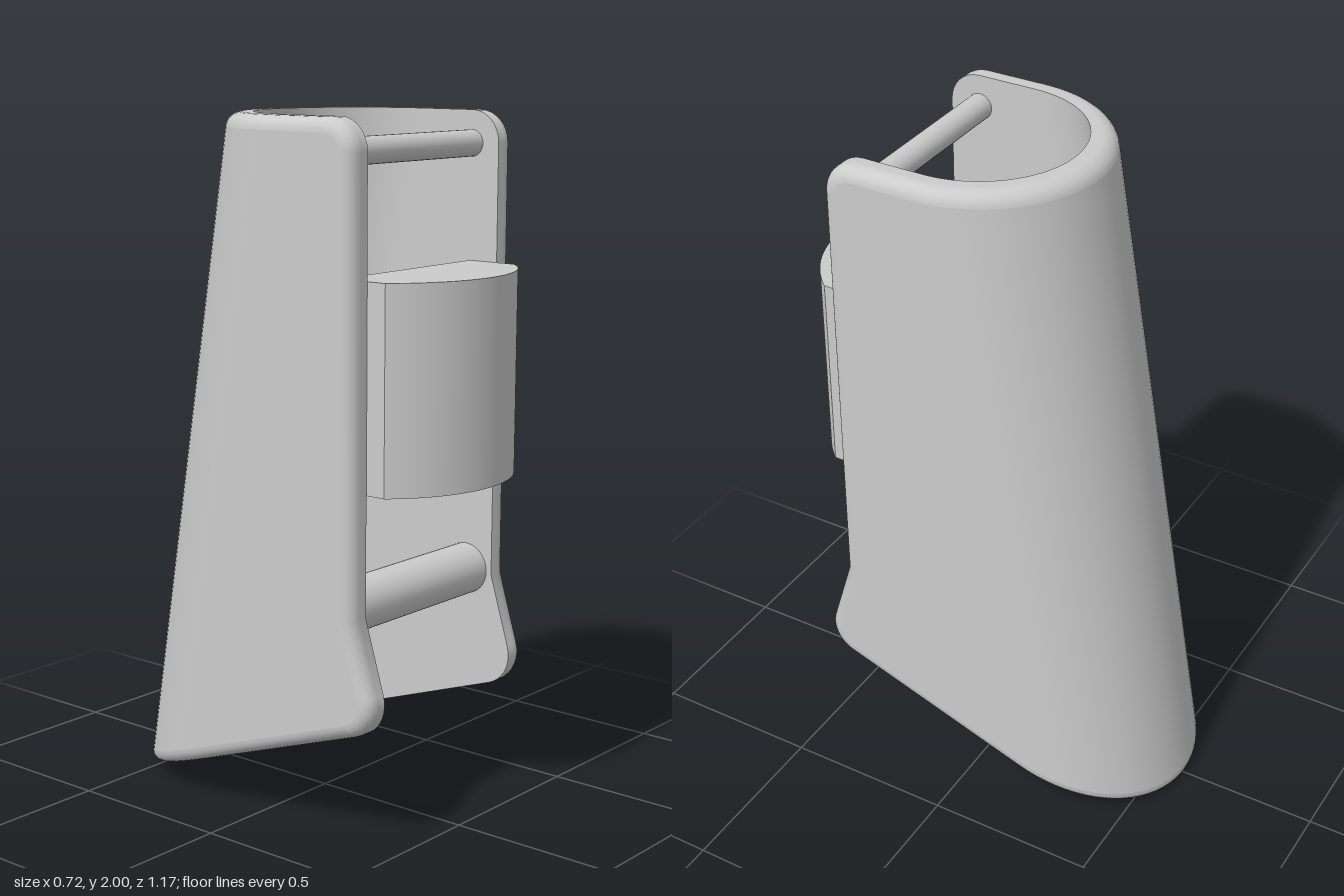
import * as THREE from 'three';
import { mergeGeometries, toCreasedNormals } from 'three/addons/utils/BufferGeometryUtils.js';

const OUTER = 0.362, INNER = 0.29, FILLET = 0.04;
const SLOPE = 0.349, BASE = 0.195;            // slanted bottom: y = BASE + SLOPE * z
const LEAN = 0.173, C0 = -0.226;              // arc centre: z = C0 + LEAN * y
const NORM = Math.hypot(1, SLOPE);

// Front edge of the side walls, bottom to top: points with outward normals
function frontEdge() {
  const pts = [];
  const arc = (cz, cy, r, a0, a1, n) => {
    for (let i = 0; i <= n; i++) {
      const a = a0 + (a1 - a0) * i / n, nz = Math.cos(a), ny = Math.sin(a);
      pts.push({ z: cz + r * nz, y: cy + r * ny, nz, ny });
    }
  };
  const r = 0.1, cz = 0.357;
  arc(cz, BASE + SLOPE * cz + r * NORM, r, Math.atan2(-1, SLOPE), 0.305, 9);
  pts.push({ z: 0.39, y: 0.66, nz: 1, ny: 0.15 });
  arc(0.3, 1.91, 0.09, 0, Math.PI / 2, 8);
  return pts;
}
const EDGE = frontEdge();
const ROWS = EDGE.length - 1, ARC = 40, COLS = ARC + 2;

// Point of the U-shaped shell: row i, column j, border inset, wall radius
function shellPoint(i, j, inset, R) {
  const e = EDGE[i];
  if (j === 0 || j === COLS) {
    return [j ? R : -R, e.y - inset * e.ny, e.z - inset * e.nz];
  }
  const a = Math.PI * (j - 1) / ARC, s = R * Math.sin(a);
  const t = (e.y - EDGE[0].y) / (EDGE[ROWS].y - EDGE[0].y);
  const low = (BASE + inset * NORM + SLOPE * (C0 - s)) / (1 - SLOPE * LEAN);
  const y = low + (2 - inset - low) * t;
  return [-R * Math.cos(a), y, C0 + LEAN * y - s];
}

// Smooth surface from a grid of points
function grid(nu, nv, fn, flip) {
  const pos = [], idx = [];
  for (let v = 0; v <= nv; v++) for (let u = 0; u <= nu; u++) pos.push(...fn(u, v));
  for (let v = 0; v < nv; v++) for (let u = 0; u < nu; u++) {
    const a = v * (nu + 1) + u, b = a + 1, d = a + nu + 1, c = d + 1;
    if (flip) idx.push(a, c, b, a, d, c);
    else idx.push(a, b, c, a, c, d);
  }
  const g = new THREE.BufferGeometry();
  g.setAttribute('position', new THREE.Float32BufferAttribute(pos, 3));
  g.setIndex(idx);
  g.computeVertexNormals();
  return g;
}

function shellGeometry() {
  // Border loop around the shell
  const loop = [];
  for (let j = 0; j < COLS; j++) loop.push([0, j]);
  for (let i = 0; i < ROWS; i++) loop.push([i, COLS]);
  for (let j = COLS; j > 0; j--) loop.push([ROWS, j]);
  for (let i = ROWS; i > 0; i--) loop.push([i, 0]);

  // Rim section: rounded outer edge, then flat to the sharp inner edge
  const layers = [];
  for (let k = 0; k <= 6; k++) {
    const p = Math.PI / 2 * k / 6;
    layers.push([FILLET * (1 - Math.sin(p)), OUTER - FILLET * (1 - Math.cos(p))]);
  }
  layers.push([0, OUTER - FILLET - 0.004], [0, INNER]);

  const outer = grid(COLS, ROWS, (u, v) => shellPoint(v, u, FILLET, OUTER), true);
  const inner = grid(COLS, ROWS, (u, v) => shellPoint(v, u, 0, INNER), false);
  const rim = grid(loop.length, layers.length - 1,
    (u, v) => shellPoint(...loop[u % loop.length], ...layers[v]), false);
  return mergeGeometries([outer, inner, rim]);
}

export function createModel() {
  const group = new THREE.Group();
  const mat = new THREE.MeshStandardMaterial({ color: 0xcccccc });
  const add = (name, geo) => {
    const mesh = new THREE.Mesh(geo, mat);
    mesh.name = name;
    group.add(mesh);
    return mesh;
  };

  add('shell', shellGeometry());

  // Cross bars between the walls
  const bar = (name, r, y) => {
    const m = add(name, new THREE.CylinderGeometry(r, r, 2 * INNER + 0.02, 32));
    m.rotation.z = Math.PI / 2;
    m.position.set(0, y, 0.298);
  };
  bar('upperBar', 0.038, 1.907);
  bar('lowerBar', 0.075, 0.667);

  // Front block with a bowed face
  const w = INNER, side = 0.45, sag = 0.133;
  const r = (w * w + sag * sag) / (2 * sag), cz = side + sag - r;
  const a = Math.atan2(side - cz, w);
  const shape = new THREE.Shape();
  shape.moveTo(-w, 0.295);
  shape.lineTo(w, 0.295);
  shape.lineTo(w, side);
  shape.absarc(0, cz, r, a, Math.PI - a, false);
  shape.closePath();
  const block = new THREE.ExtrudeGeometry(shape, { depth: 0.575, bevelEnabled: false, curveSegments: 28 });
  block.rotateX(Math.PI / 2);
  block.translate(0, 1.575, 0);
  add('frontBlock', toCreasedNormals(block, 0.4));

  return group;
}
